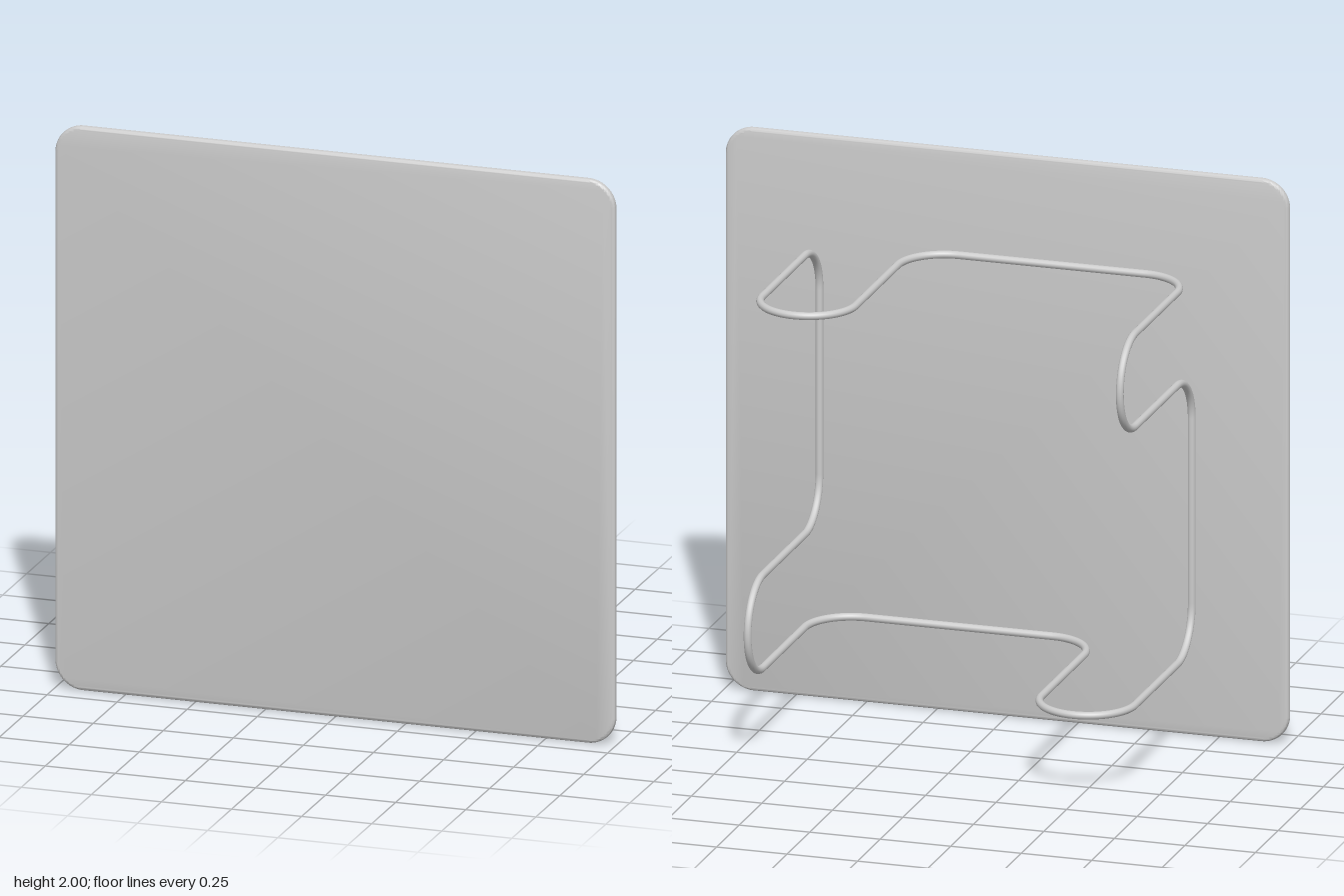
import * as THREE from 'three';
import { toCreasedNormals } from 'three/addons/utils/BufferGeometryUtils.js';

const material = new THREE.MeshStandardMaterial({ color: 0xcccccc });
const WIRE = 0.0135;   // wire radius
const BEND = 0.165;    // radius of every quarter bend
const CENTRE_Y = 0.967; // centre of the wire frame

// Closed path through the corner points, each corner rounded to a quarter circle
function roundedPath(points, radius) {
  const path = new THREE.CurvePath();
  const n = points.length;
  const toward = (from, to, d) =>
    from.clone().add(to.clone().sub(from).normalize().multiplyScalar(d));
  let end = toward(points[n - 1], points[0], radius);
  for (let i = 0; i < n; i++) {
    const corner = points[i], prev = points[(i + n - 1) % n], next = points[(i + 1) % n];
    const a = toward(corner, prev, radius), b = toward(corner, next, radius);
    if (end.distanceTo(a) > 1e-4) path.add(new THREE.LineCurve3(end, a));
    const k = radius * (1 - 0.5523);
    path.add(new THREE.CubicBezierCurve3(a, toward(corner, prev, k), toward(corner, next, k), b));
    end = b;
  }
  path.arcLengthDivisions = 800;
  return path;
}

// Square panel with rounded corners and a fully rounded rim
function makePanel() {
  const bevel = 0.013, h = 1 - bevel, r = 0.1 - bevel;
  const s = new THREE.Shape();
  s.moveTo(-h + r, -h);
  s.absarc(h - r, -h + r, r, -Math.PI / 2, 0);
  s.absarc(h - r, h - r, r, 0, Math.PI / 2);
  s.absarc(-h + r, h - r, r, Math.PI / 2, Math.PI);
  s.absarc(-h + r, -h + r, r, Math.PI, Math.PI * 1.5);
  const geometry = new THREE.ExtrudeGeometry(s, {
    depth: 0.001, bevelEnabled: true, bevelThickness: bevel, bevelSize: bevel,
    bevelSegments: 6, curveSegments: 12,
  });
  const mesh = new THREE.Mesh(toCreasedNormals(geometry, 0.6), material);
  mesh.name = 'tableTop';
  mesh.position.set(0, 1, 0.409);
  return mesh;
}

// One continuous wire: four U-shaped legs, each a quarter turn from the last
function makeWireFrame() {
  const outer = 0.66, inner = 0.33, near = 0.383, far = -0.41;
  const leg = [[outer, near], [outer, far], [inner, far], [inner, near]];
  const points = [];
  const axis = new THREE.Vector3(0, 0, 1);
  for (let k = 0; k < 4; k++) {
    for (const [x, z] of leg) {
      points.push(new THREE.Vector3(x, outer, z).applyAxisAngle(axis, k * Math.PI / 2));
    }
  }
  const geometry = new THREE.TubeGeometry(roundedPath(points, BEND), 800, WIRE, 12, true);
  const mesh = new THREE.Mesh(geometry, material);
  mesh.name = 'wireLegs';
  mesh.position.y = CENTRE_Y;
  return mesh;
}

export function createModel() {
  const group = new THREE.Group();
  group.name = 'wireLegTable';
  group.add(makePanel(), makeWireFrame());
  return group;
}
